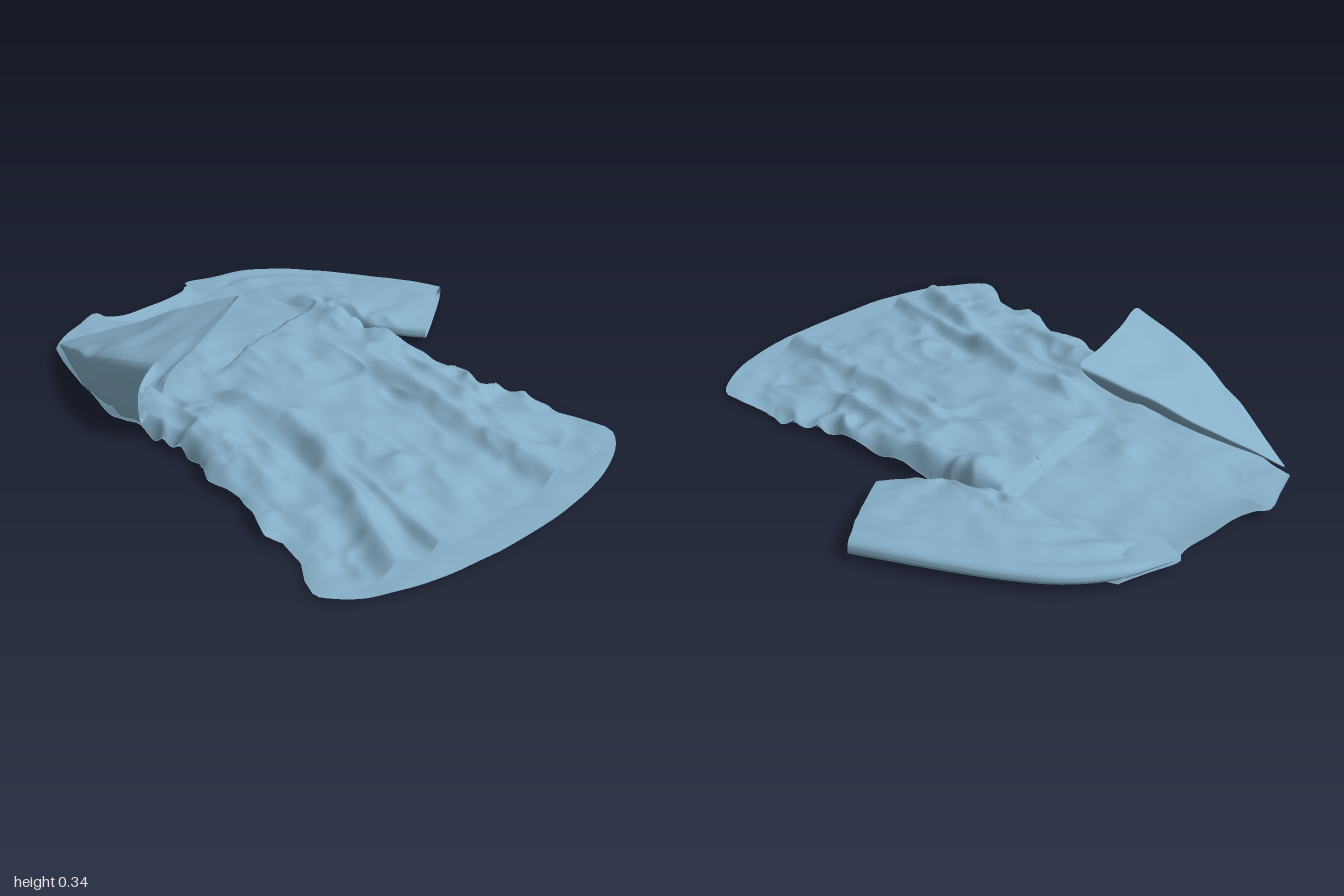
import * as THREE from 'three';

const { lerp, smoothstep, clamp } = THREE.MathUtils;
const V = (x, y, z) => new THREE.Vector3(x, y, z);
const cloth = new THREE.MeshStandardMaterial({ color: 0x86b0c9, side: THREE.DoubleSide });

// Piecewise linear lookup in a table of [key, value]
function pick(table, k) {
  if (k <= table[0][0]) return table[0][1];
  for (let i = 1; i < table.length; i++) {
    const [a, va] = table[i - 1], [b, vb] = table[i];
    if (k <= b) return lerp(va, vb, (k - a) / (b - a));
  }
  return table[table.length - 1][1];
}

// Smooth value noise, -1..1, and a version with sharp crests
function hash(i, j) {
  const n = Math.sin(i * 127.1 + j * 311.7) * 43758.5453;
  return (n - Math.floor(n)) * 2 - 1;
}
function noise(x, z) {
  const i = Math.floor(x), j = Math.floor(z);
  const u = smoothstep(x - i, 0, 1), v = smoothstep(z - j, 0, 1);
  return lerp(lerp(hash(i, j), hash(i + 1, j), u), lerp(hash(i, j + 1), hash(i + 1, j + 1), u), v);
}
const crease = (x, z) => 0.6 - 2 * Math.abs(noise(x, z));

// Sheet of cloth from a rule fn(s, t) => Vector3
function sheet(name, ns, nt, fn, flip = false) {
  const pos = [], idx = [], row = nt + 1;
  for (let i = 0; i <= ns; i++)
    for (let j = 0; j <= nt; j++) pos.push(...fn(i / ns, j / nt).toArray());
  for (let i = 0; i < ns; i++)
    for (let j = 0; j < nt; j++) {
      const a = i * row + j, b = a + 1, c = a + row, d = c + 1;
      idx.push(...(flip ? [a, c, b, b, c, d] : [a, b, c, b, d, c]));
    }
  const g = new THREE.BufferGeometry();
  g.setAttribute('position', new THREE.Float32BufferAttribute(pos, 3));
  g.setIndex(idx);
  g.computeVertexNormals();
  const mesh = new THREE.Mesh(g, cloth);
  mesh.name = name;
  return mesh;
}

// Side edges of the body, as z -> x
const leftEdge = [[-0.91, -0.58], [-0.65, -0.64], [-0.4, -0.675], [-0.14, -0.66], [-0.03, -0.64], [0.08, -0.655],
  [0.16, -0.685], [0.3, -0.665], [0.37, -0.685], [0.5, -0.73], [0.55, -0.7], [0.65, -0.715], [0.72, -0.76], [0.8, -0.79]];
const rightEdge = [[-0.92, 0.27], [-0.6, 0.34], [-0.3, 0.33], [-0.18, 0.32], [0, 0.36], [0.2, 0.385],
  [0.32, 0.4], [0.42, 0.45], [0.5, 0.485], [0.6, 0.48], [0.7, 0.505], [0.8, 0.525]];

// Crumple ridges: centre line as z -> x, z range, width, height
const ridges = [
  { path: [[-0.2, -0.38], [0.1, -0.3], [0.4, -0.38], [0.86, -0.54]], z: [-0.2, 1.1], w: 0.045, h: 0.045 },
  { path: [[0.2, -0.31], [0.5, -0.34], [0.86, -0.38]], z: [0.25, 1.1], w: 0.03, h: 0.04 },
  { path: [[0, 0.1], [0.2, 0.14], [0.5, 0.13], [0.9, 0.13]], z: [0, 1.1], w: 0.045, h: 0.045 },
  { path: [[0.1, 0.25], [0.5, 0.28], [0.7, 0.38]], z: [0.1, 0.75], w: 0.035, h: 0.02 },
  { path: [[-0.1, -0.5], [0.2, -0.57], [0.6, -0.62]], z: [-0.15, 0.7], w: 0.05, h: 0.02 },
  { path: [[-0.9, 0.05], [-0.4, 0.3]], z: [-0.95, -0.35], w: 0.03, h: 0.012 },
  { path: [[-0.55, 0.26], [-0.1, 0.32]], z: [-0.55, 0.02], w: 0.035, h: 0.035 },
];
// Local bumps: x, z, radius, height
const bumps = [[0.26, -0.27, 0.08, 0.055], [0.14, -0.1, 0.16, 0.03], [-0.2, 0.52, 0.045, 0.025],
  [-0.22, -0.5, 0.05, 0.02], [-0.55, -0.1, 0.11, 0.025], [0.24, 0.38, 0.05, 0.02]];
const profile = [[-1, 0.03], [-0.8, 0.042], [-0.5, 0.055], [-0.33, 0.06], [-0.1, 0.075], [0.1, 0.06], [0.35, 0.046],
  [0.65, 0.036], [0.89, 0.006]];

function frontHeight(x, z) {
  let h = pick(profile, z);
  for (const r of ridges) {
    const d = (x - pick(r.path, z)) / r.w;
    const ends = smoothstep(z, r.z[0], r.z[0] + 0.12) * (1 - smoothstep(z, r.z[1] - 0.1, r.z[1]));
    h += r.h * Math.exp(-d * d) * ends;
  }
  for (const [bx, bz, r, a] of bumps) h += a * Math.exp(-((x - bx) ** 2 + (z - bz) ** 2) / (r * r));
  // Overhanging pleat across the chest
  const dz = z - (-0.33 - 0.22 * (x + 0.18));
  const span = smoothstep(x, -0.3, -0.15) * (1 - smoothstep(x, 0.24, 0.32));
  h += 0.04 * span * smoothstep(dz, -0.012, 0.012) * (1 - 0.8 * smoothstep(dz, 0.02, 0.25));
  // Fine creases, stronger below the chest and at the flanks, flat at the hem
  const rough = 0.003 + 0.009 * smoothstep(z, -0.5, -0.2) * (1 - smoothstep(z, 0.7, 0.88))
    * (0.4 + Math.min(1, 2 * Math.abs(x + 0.13)));
  return h + rough * (noise(x * 14, z * 7) + 0.7 * crease(x * 17 + 9, z * 9));
}

// Body panel: hangs from a top edge down to a curved hem
function panel(name, topPoints, hem, height, flip) {
  const top = new THREE.CatmullRomCurve3(topPoints.map(([x, z]) => V(x, 0, z)), false, 'centripetal').getSpacedPoints(120);
  return sheet(name, 120, 140, (s, t) => {
    const p = top[Math.round(s * 120)];
    const l0 = pick(leftEdge, p.z), r0 = pick(rightEdge, p.z);
    const u = clamp((p.x - l0) / (r0 - l0), 0, 1);
    const z = lerp(p.z, hem(Math.abs(2 * u - 1)), t);
    const x = lerp(pick(leftEdge, z), pick(rightEdge, z), u);
    return V(x, height(x, z, Math.abs(2 * u - 1)), z);
  }, flip);
}
const leftShoulder = [[-0.58, -0.91], [-0.46, -0.96], [-0.35, -1]];
const rightShoulder = [[0.06, -0.98], [0.17, -0.95], [0.27, -0.92]];

// The back lies on the ground, with its flanks gathered up at the waist (w: 0 middle, 1 side)
function backHeight(x, z, w) {
  const gather = smoothstep(z, -0.45, -0.2) * (1 - smoothstep(z, 0.35, 0.65)) * smoothstep(w, 0.72, 1);
  return 0.012 + 0.025 * (1 - smoothstep(z, -1, -0.82)) + 0.01 * smoothstep(z, 0.75, 0.95)
    + 0.007 * noise(x * 9, z * 9) + gather * (0.03 + 0.02 * crease(x * 15, z * 12));
}

export function createModel() {
  const shirt = new THREE.Group();
  shirt.name = 'crumpledShirt';

  shirt.add(panel('backPanel',
    [...leftShoulder, [-0.31, -0.97], [-0.25, -0.95], [-0.13, -0.95], [-0.02, -0.95], [0.03, -0.96], ...rightShoulder],
    w => 0.78 + 0.22 * Math.max(0, 1 - w ** 2.4) ** 0.65, backHeight, true));

  shirt.add(panel('frontPanel',
    [...leftShoulder, [-0.33, -0.92], [-0.28, -0.85], [-0.21, -0.81], [-0.13, -0.8], [-0.06, -0.81],
      [0, -0.84], [0.04, -0.91], ...rightShoulder],
    w => 0.77 + 0.12 * Math.max(0, 1 - w ** 4) ** 0.6,
    (x, z, w) => {
      const collar = 0.35 + 0.65 * smoothstep(z, -1, -0.86);
      // Steep flanks at the waist, gentler towards the hem
      const side = 1 - w ** lerp(14, 6, smoothstep(z, 0.1, 0.6));
      return backHeight(x, z, w) + 0.003 + Math.max(0, frontHeight(x, z)) * side * collar;
    }));

  // Left sleeve lies flat, between its outer and inner edges
  const outer = new THREE.CatmullRomCurve3([V(0.08, 0.045, -0.97), V(0.26, 0.05, -0.92), V(0.4, 0.05, -0.825),
    V(0.51, 0.05, -0.7), V(0.62, 0.05, -0.54), V(0.72, 0.05, -0.38), V(0.78, 0.045, -0.27)]);
  const inner = new THREE.CatmullRomCurve3([V(0.24, 0.045, -0.42), V(0.31, 0.06, -0.3), V(0.36, 0.06, -0.2),
    V(0.42, 0.05, -0.12), V(0.49, 0.04, -0.06)]);
  shirt.add(sheet('leftSleeve', 64, 50, (s, t) => {
    const a = s * Math.PI * 2, c = Math.cos(a), n = Math.sin(a);
    const p = inner.getPoint(t).lerp(outer.getPoint(t), 0.5 + 0.5 * c);
    const thick = n > 0 ? lerp(0.03, 0.05, t) : 0.032;
    p.y += thick * lerp(0.5, 1, smoothstep(t, 0, 0.2)) * Math.sign(n) * Math.abs(n) ** 0.6;
    // Long folds beside the outer edge, crumples towards the armpit
    if (n > 0) {
      p.y += n * (0.011 * Math.sin(c * 14 + 1) * smoothstep(c, -0.2, 0.5) * (1 - 0.5 * t)
        + 0.045 * (1 - smoothstep(c, -0.9, 0)) * (1 - t) * smoothstep(t, 0, 0.15) * (1 + crease(p.x * 16, p.z * 16))
        + 0.006 * noise(p.x * 14, p.z * 14));
    }
    p.y = Math.max(p.y, 0.01);
    return p;
  }, true));

  // Right sleeve is lifted, opening from the shoulder tip to a raised hem
  const hemLoop = [V(-0.655, 0.32, -0.14), V(-0.5, 0.325, -0.195), V(-0.34, 0.325, -0.25), V(-0.18, 0.338, -0.31),
    V(-0.24, 0.255, -0.34), V(-0.33, 0.185, -0.36), V(-0.46, 0.125, -0.34), V(-0.61, 0.07, -0.25),
    V(-0.685, 0.08, -0.2), V(-0.685, 0.2, -0.2)];
  const hem = new THREE.CatmullRomCurve3(hemLoop, true, 'centripetal');
  const tip = V(-0.575, 0.045, -0.9);
  shirt.add(sheet('rightSleeve', 70, 40, (s, t) => {
    const h = hem.getPoint(s % 1);
    const p = tip.clone().lerp(h, lerp(0.02, 1, t));
    const bow = Math.sin(Math.PI * t ** 1.15);
    const low = 1 - smoothstep(h.y, 0.1, 0.25);
    p.x -= 0.05 * bow * smoothstep(-h.x, 0.4, 0.66);
    p.y += 0.01 * bow * smoothstep(h.y, 0.2, 0.33) + 0.01 * bow * noise(p.x * 11, p.z * 11);
    p.y += 0.02 * low * smoothstep(t, 0.3, 0.9) * crease(p.x * 13, p.z * 13);
    return p;
  }));

  return shirt;
}
